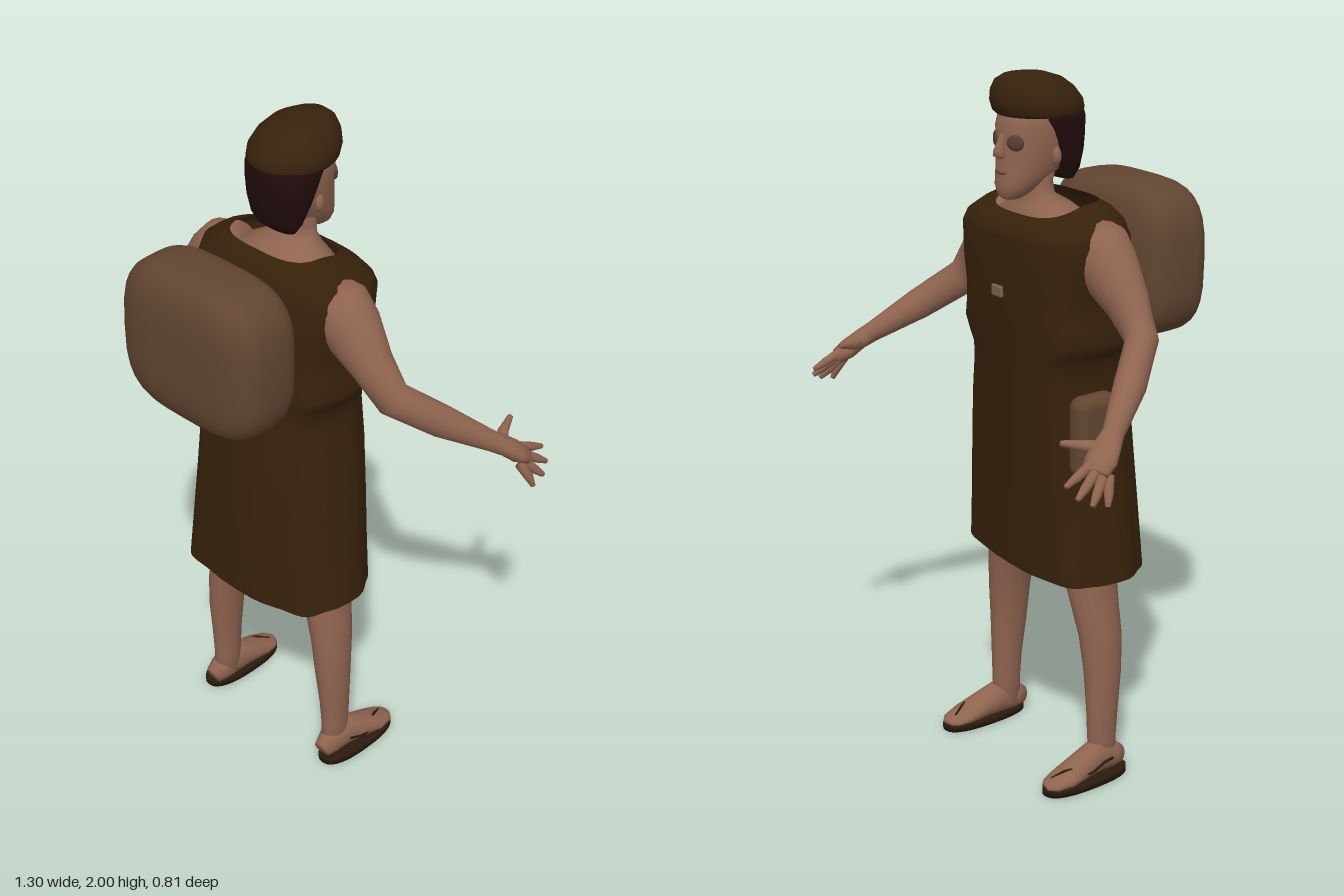
import * as THREE from 'three';
import { RoundedBoxGeometry } from 'three/addons/geometries/RoundedBoxGeometry.js';

const mat = (name, color, side = THREE.FrontSide) => {
  const m = new THREE.MeshStandardMaterial({ color, side });
  m.name = name;
  return m;
};

// Skins cross-sections [x, y, z, halfWidth, halfDepth] with superellipse rings.
// Flat sections stay horizontal; otherwise they turn with the path.
function sweep(sections, { flat = false, sides = 20, e = 2, caps = true, rule = null } = {}) {
  const centres = sections.map((s) => new THREE.Vector3(s[0], s[1], s[2]));
  const last = sections.length - 1;
  const up = new THREE.Vector3(0, 1, 0);
  const pos = [], index = [];
  const bend = (v) => Math.sign(v) * Math.pow(Math.abs(v), 2 / e);
  sections.forEach((s, i) => {
    const t = centres[Math.min(i + 1, last)].clone().sub(centres[Math.max(i - 1, 0)]).normalize();
    const u = flat ? new THREE.Vector3(-1, 0, 0) : up.clone().cross(t).normalize();
    const v = flat ? new THREE.Vector3(0, 0, 1) : t.clone().cross(u);
    for (let j = 0; j < sides; j++) {
      const ang = (j / sides) * Math.PI * 2;
      const p = centres[i].clone()
        .addScaledVector(u, s[3] * bend(Math.cos(ang)))
        .addScaledVector(v, s[4] * bend(Math.sin(ang)));
      if (rule) rule(p, ang, i / last);
      pos.push(p.x, p.y, p.z);
      if (i < last) {
        const a = i * sides + j, b = i * sides + (j + 1) % sides;
        index.push(a, b, b + sides, a, b + sides, a + sides);
      }
    }
  });
  if (caps) {
    const n = pos.length / 3;
    pos.push(...centres[0].toArray(), ...centres[last].toArray());
    for (let j = 0; j < sides; j++) {
      const k = (j + 1) % sides, o = last * sides;
      index.push(n, k, j, n + 1, o + j, o + k);
    }
  }
  const g = new THREE.BufferGeometry();
  g.setAttribute('position', new THREE.Float32BufferAttribute(pos, 3));
  g.setIndex(index);
  g.computeVertexNormals();
  return g;
}

// Horizontal ring from height, half width, front z, back z and x offset
const ring = (y, a, front, back, x = 0) => [x, y, (front + back) / 2, a, (back - front) / 2];

export function createModel() {
  const model = new THREE.Group();
  const skin = mat('skin', 0x8f6450);
  const cloth = mat('tunic cloth', 0x37210b, THREE.DoubleSide);
  const felt = mat('cap felt', 0x37220c);
  const leather = mat('pack leather', 0x614530);
  const hairMat = mat('hair', 0x220c0d);
  const soleMat = mat('sandal', 0x2b1a0e);
  const eyeMat = mat('eye', 0x563e32);
  const buckleMat = mat('buckle', 0x7a614c);
  const lipMat = mat('lips', 0x834f42);

  const add = (name, geometry, material, parent = model) => {
    const m = new THREE.Mesh(geometry, material);
    m.name = name;
    parent.add(m);
    return m;
  };

  // Loose sleeveless tunic with soft vertical folds and a lowered front neckline
  add('tunic', sweep([
    ring(0.61, 0.277, -0.13, 0.208, 0.017),
    ring(0.75, 0.262, -0.135, 0.201, 0.016),
    ring(0.92, 0.245, -0.142, 0.192, 0.014),
    ring(1.08, 0.23, -0.15, 0.18, 0.008),
    ring(1.19, 0.218, -0.155, 0.17),
    ring(1.235, 0.217, -0.158, 0.167),
    ring(1.265, 0.238, -0.16, 0.166),
    ring(1.3, 0.257, -0.162, 0.165),
    ring(1.35, 0.243, -0.166, 0.162),
    ring(1.41, 0.24, -0.168, 0.16),
    ring(1.48, 0.25, -0.17, 0.158),
    ring(1.57, 0.258, -0.168, 0.15),
    ring(1.615, 0.245, -0.16, 0.135),
    ring(1.645, 0.205, -0.145, 0.115),
    ring(1.662, 0.15, -0.115, 0.09, -0.01),
  ], {
    flat: true, sides: 56, e: 3.1, caps: false,
    rule: (p, ang, t) => {
      const fold = 1 + 0.022 * (1 - t) * Math.sin(ang * 8 + 1);
      p.x *= fold;
      p.z *= fold;
      if (t === 0) p.y += p.x * 0.045;
      if (t > 0.85 && p.z < 0) p.y += p.z * 0.3 * (t - 0.7) / 0.3;
    },
  }), cloth);

  // Bare upper chest and a slim neck set forward under the jaw
  add('neck', sweep([
    ring(1.54, 0.2, -0.13, 0.11),
    ring(1.615, 0.155, -0.115, 0.085),
    ring(1.645, 0.1, -0.1, 0.05),
    ring(1.675, 0.066, -0.088, 0.0),
    ring(1.71, 0.062, -0.09, -0.005),
    ring(1.77, 0.06, -0.09, 0.02),
  ], { flat: true, sides: 24 }), skin);

  // Head and face
  const head = new THREE.Group();
  head.name = 'head';
  model.add(head);
  add('face', sweep([
    ring(1.668, 0.022, -0.148, -0.1),
    ring(1.68, 0.038, -0.16, -0.075),
    ring(1.705, 0.056, -0.164, -0.04),
    ring(1.74, 0.07, -0.16, 0.02),
    ring(1.79, 0.081, -0.156, 0.06),
    ring(1.825, 0.085, -0.152, 0.068),
    ring(1.86, 0.087, -0.156, 0.07),
    ring(1.92, 0.083, -0.14, 0.07),
  ], { flat: true, sides: 28, e: 2.2 }), skin, head);
  add('nose', sweep([
    ring(1.779, 0.01, -0.166, -0.14),
    ring(1.787, 0.017, -0.18, -0.14),
    ring(1.8, 0.013, -0.18, -0.14),
    ring(1.845, 0.008, -0.158, -0.14),
  ], { flat: true, sides: 12 }), skin, head);
  const lips = add('lips', new THREE.SphereGeometry(1, 14, 8), lipMat, head);
  lips.scale.set(0.024, 0.009, 0.009);
  lips.position.set(0, 1.744, -0.157);

  add('hair', sweep([
    ring(1.712, 0.066, 0.005, 0.05),
    ring(1.74, 0.084, -0.012, 0.066),
    ring(1.79, 0.097, -0.04, 0.078),
    ring(1.84, 0.103, -0.068, 0.085),
    ring(1.88, 0.106, -0.09, 0.087),
    ring(1.905, 0.1, -0.1, 0.083),
  ], { flat: true, sides: 28, e: 2.35 }), hairMat, head);

  // Soft cap, fullest towards the brow
  add('cap', sweep([
    ring(1.89, 0.11, -0.148, 0.087),
    ring(1.9, 0.116, -0.16, 0.094),
    ring(1.925, 0.117, -0.168, 0.088),
    ring(1.955, 0.105, -0.168, 0.064),
    ring(1.98, 0.082, -0.16, 0.03),
    ring(1.995, 0.05, -0.14, -0.015),
    ring(2.0, 0.018, -0.11, -0.06),
  ], { flat: true, sides: 32 }), felt, head);

  // Pillow-shaped backpack, side pouch and chest buckle
  const packRings = [];
  for (let i = 0; i <= 16; i++) {
    const a = (i / 16 - 0.5) * Math.PI * 0.96;
    const h = Math.sign(a) * Math.pow(Math.abs(Math.sin(a)), 0.62);
    const w = Math.pow(Math.cos(a), 0.5);
    packRings.push([0, 1.465 + 0.218 * h, 0.278, 0.252 * w, 0.125 * w]);
  }
  add('backpack', sweep(packRings, { flat: true, sides: 40, e: 3.5 }), leather);
  add('pouch', new RoundedBoxGeometry(0.07, 0.23, 0.14, 4, 0.033), leather)
    .position.set(-0.258, 1.055, -0.045);
  add('buckle', new RoundedBoxGeometry(0.045, 0.032, 0.016, 2, 0.005), buckleMat)
    .position.set(0, 1.42, -0.17);

  for (const s of [-1, 1]) {
    const limb = (name, pts, material, parent, opts) =>
      add(name, sweep(pts.map(([x, ...rest]) => [x * s, ...rest]), opts), material, parent);
    const label = s > 0 ? 'left' : 'right';

    // Eyes
    const eye = add(label + 'Eye', new THREE.SphereGeometry(1, 14, 10), eyeMat, head);
    eye.scale.set(0.025, 0.022, 0.008);
    eye.position.set(s * 0.043, 1.824, -0.141);
    eye.rotation.y = -s * 0.5;
    const ear = add(label + 'Ear', new THREE.SphereGeometry(1, 12, 10), skin, head);
    ear.scale.set(0.01, 0.024, 0.014);
    ear.position.set(s * 0.09, 1.785, -0.04);

    // Arm and palm
    const arm = new THREE.Group();
    arm.name = label + 'Arm';
    model.add(arm);
    limb('arm', [
      [0.17, 1.57, 0.01, 0.078, 0.075],
      [0.21, 1.548, 0.01, 0.083, 0.09],
      [0.255, 1.502, 0.008, 0.078, 0.088],
      [0.33, 1.425, 0.01, 0.057, 0.064],
      [0.4, 1.345, 0, 0.045, 0.051],
      [0.48, 1.262, -0.105, 0.043, 0.045],
      [0.555, 1.18, -0.22, 0.029, 0.029],
      [0.573, 1.157, -0.255, 0.038, 0.026],
      [0.588, 1.132, -0.285, 0.044, 0.027],
      [0.602, 1.11, -0.315, 0.037, 0.02],
    ], skin, arm);

    // Fingers and thumb: base, middle, tip
    [
      [[0.584, 1.128, -0.315], [0.589, 1.106, -0.362], [0.592, 1.09, -0.4]],
      [[0.6, 1.11, -0.315], [0.614, 1.082, -0.356], [0.622, 1.062, -0.386]],
      [[0.612, 1.1, -0.3], [0.63, 1.064, -0.332], [0.64, 1.043, -0.353]],
      [[0.614, 1.1, -0.28], [0.635, 1.06, -0.298], [0.644, 1.032, -0.307]],
      [[0.567, 1.152, -0.255], [0.533, 1.16, -0.302], [0.513, 1.172, -0.355]],
    ].forEach((pts, i) => {
      const r = i < 4 ? [0.0135, 0.0125, 0.007] : [0.02, 0.015, 0.008];
      limb(i < 4 ? 'finger' : 'thumb', pts.map((p, k) => [...p, r[k], r[k]]), skin, arm, { sides: 10 });
    });

    // Leg, foot and sandal
    const leg = new THREE.Group();
    leg.name = label + 'Leg';
    model.add(leg);
    limb('leg', [
      [0.23, 0.04, 0.02, 0.034, 0.042],
      [0.23, 0.12, 0.016, 0.033, 0.046],
      [0.229, 0.2, 0.018, 0.038, 0.049],
      [0.224, 0.32, 0.022, 0.046, 0.058],
      [0.215, 0.43, 0.02, 0.052, 0.066],
      [0.197, 0.52, 0.014, 0.058, 0.073],
      [0.18, 0.6, 0.01, 0.065, 0.08],
      [0.14, 0.85, 0.01, 0.085, 0.095],
    ], skin, leg, { flat: true });
    limb('foot', [
      [0.235, 0.04, 0.076, 0.026, 0.028],
      [0.234, 0.052, 0.045, 0.036, 0.043],
      [0.235, 0.062, -0.01, 0.038, 0.052],
      [0.24, 0.05, -0.065, 0.042, 0.04],
      [0.245, 0.034, -0.13, 0.048, 0.025],
      [0.244, 0.026, -0.175, 0.038, 0.016],
      [0.24, 0.024, -0.194, 0.02, 0.01],
    ], skin, leg);
    limb('sole', [
      [0.246, 0, -0.058, 0.052, 0.142],
      [0.246, 0.021, -0.058, 0.052, 0.142],
    ], soleMat, leg, { flat: true, sides: 28, e: 2.5 });

    // Thin thong strap from the toes, ending in a loose tip by the ankle
    const strap = [[0.236, 0.042, -0.17], [0.258, 0.062, -0.12], [0.282, 0.042, -0.07],
      [0.276, 0.056, -0.01], [0.294, 0.074, 0.01]];
    const curve = new THREE.CatmullRomCurve3(strap.map(([x, y, z]) => new THREE.Vector3(x * s, y, z)));
    add('strap', new THREE.TubeGeometry(curve, 20, 0.004, 6), soleMat, leg);
  }
  return model;
}
